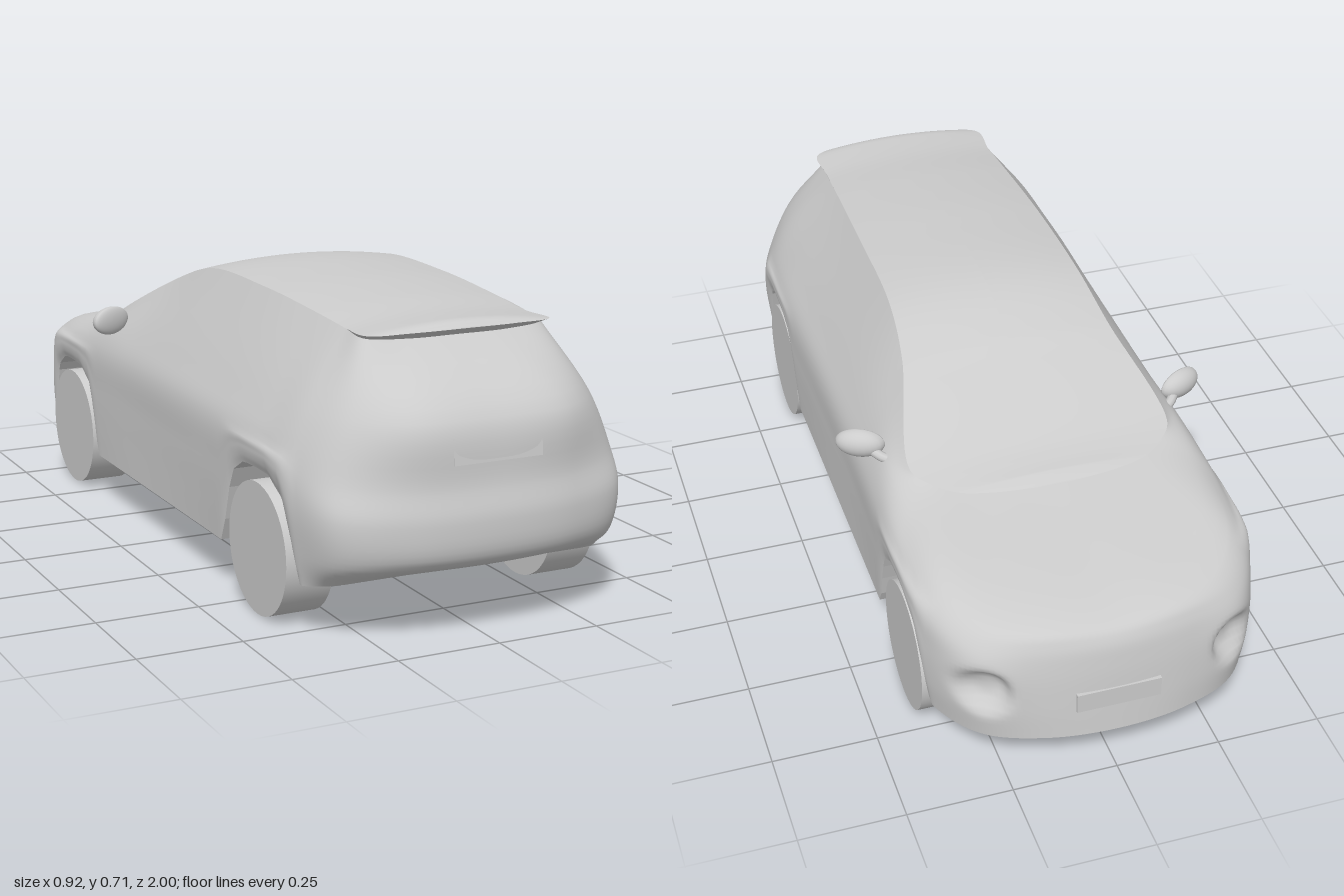
import * as THREE from 'three';

const SUB = 12; // samples between two outline points
const mat = new THREE.MeshStandardMaterial({ color: 0xcccccc, side: THREE.DoubleSide });

// Half outlines [x, y, z], from rear centre along the +x side to front centre
const bottom = [[0, .14, .88], [.2, .14, .87], [.335, .13, .84], [.385, .12, .77], [.4, .12, .6], [.4, .12, .3], [.4, .12, 0],
  [.4, .12, -.2], [.4, .12, -.4], [.4, .12, -.6], [.385, .12, -.79], [.305, .12, -.92], [.17, .12, -.98], [0, .12, -1]];
const lower = [[0, .19, .985], [.2, .19, .965], [.345, .19, .9], [.395, .2, .78], [.407, .2, .6], [.403, .2, .3], [.4, .2, 0],
  [.4, .2, -.2], [.403, .2, -.4], [.407, .2, -.6], [.395, .2, -.79], [.315, .2, -.925], [.18, .2, -.975], [0, .2, -.993]];
const middle = [[0, .28, 1], [.2, .28, .98], [.355, .29, .91], [.402, .3, .78], [.41, .3, .6], [.405, .3, .3], [.4, .3, 0],
  [.4, .3, -.2], [.405, .3, -.4], [.41, .3, -.6], [.398, .3, -.78], [.32, .3, -.92], [.18, .3, -.965], [0, .3, -.983]];
const shoulder = [[0, .36, .983], [.2, .36, .963], [.345, .37, .885], [.393, .38, .77], [.405, .4, .6], [.4, .41, .3], [.397, .41, 0],
  [.397, .41, -.2], [.402, .41, -.4], [.405, .4, -.6], [.387, .38, -.78], [.31, .36, -.9], [.18, .36, -.95], [0, .36, -.97]];
const belt = [[0, .5, .965], [.19, .5, .95], [.3, .5, .865], [.345, .5, .75], [.36, .49, .6], [.36, .49, .3], [.36, .49, 0],
  [.36, .49, -.2], [.365, .485, -.38], [.362, .455, -.55], [.345, .43, -.75], [.27, .405, -.87], [.15, .395, -.93], [0, .39, -.945]];
const roofEdge = [[0, .65, .8], [.13, .65, .795], [.222, .655, .775], [.23, .665, .7], [.234, .677, .55], [.24, .69, .3], [.245, .685, 0],
  [.262, .635, -.17], [.32, .51, -.43], [.285, .495, -.48], [.23, .488, -.52], [.16, .486, -.54], [.08, .485, -.55], [0, .485, -.555]];
const spoilerEdge = [[0, .67, .838], [.13, .669, .832], [.228, .666, .805], ...roofEdge.slice(3)];

// Mirror a half outline and smooth it into a closed ring
function ring(half) {
  const other = half.slice(1, -1).reverse().map(([x, y, z]) => [-x, y, z]);
  const pts = [...half, ...other].map((p) => new THREE.Vector3(...p));
  const curve = new THREE.CatmullRomCurve3(pts, true);
  const n = pts.length * SUB;
  return Array.from({ length: n }, (_, i) => curve.getPoint(i / n));
}

// Skin between closed rings, ordered from the bottom up
function loft(name, rings, flat = false) {
  const n = rings[0].length, pos = [], idx = [];
  rings.forEach((r) => r.forEach((p) => pos.push(p.x, p.y, p.z)));
  for (let j = 0; j < rings.length - 1; j++) {
    for (let i = 0; i < n; i++) {
      const a = j * n + i, b = j * n + (i + 1) % n;
      idx.push(a, b, a + n, b, b + n, a + n);
    }
  }
  let g = new THREE.BufferGeometry();
  g.setAttribute('position', new THREE.Float32BufferAttribute(pos, 3));
  g.setIndex(idx);
  if (flat) g = g.toNonIndexed();
  g.computeVertexNormals();
  return named(name, g);
}

function named(name, geometry) {
  const m = new THREE.Mesh(geometry, mat);
  m.name = name;
  return m;
}

// Height of the wheel arch opening at z
const archShape = [[0, .345], [.065, .343], [.13, .305], [.165, .2], [.185, .12]];
function archHeight(z) {
  const d = Math.min(Math.abs(z - .6), Math.abs(z + .61));
  for (let i = 1; i < archShape.length; i++) {
    const [d0, y0] = archShape[i - 1], [d1, y1] = archShape[i];
    if (d <= d1) return y0 + (y1 - y0) * (d - d0) / (d1 - d0);
  }
  return .12;
}

// Lift the lower flank over the wheels and press in the front corner intakes
function shape(p) {
  const q = p.clone();
  const f = THREE.MathUtils.clamp((.41 - q.y) / .29, 0, 1);
  q.y += f * (archHeight(q.z) - .12);
  if (p.z < -.84) {
    const dx = (Math.abs(p.x) - .3) / .05, dy = (p.y - .25) / .05;
    const dent = .035 * Math.exp(-((dx * dx + dy * dy) ** 2));
    q.z += dent;
    q.x -= Math.sign(q.x) * dent * .6;
  }
  return q;
}

export function createModel() {
  const car = new THREE.Group();
  car.name = 'car';

  // Body shell from sill to roof edge, including bonnet and tailgate
  const lines = [bottom, lower, middle, shoulder, belt, roofEdge].map(ring);
  const columns = lines[0].map((_, i) => new THREE.CatmullRomCurve3(lines.map((l) => l[i])));
  const rows = 30;
  const shell = Array.from({ length: rows + 1 }, (_, j) => columns.map((c) => shape(c.getPoint(j / rows))));
  car.add(loft('bodyShell', shell));

  // Roof and windscreen, with a slight crown
  const edge = ring(spoilerEdge);
  const roof = [1, .85, .7, .55, .4, .25, .12, 0].map((s) => edge.map((p) => {
    const crown = (p.z < -.2 ? .013 : .02) * Math.min(1, (p.x / .23) ** 2);
    return new THREE.Vector3(p.x * s, p.y + crown * (1 - s * s), p.z);
  }));
  car.add(loft('roofAndWindscreen', roof));
  car.add(loft('rearSpoiler', [lines[5], edge], true));

  // Floor and wheel wells
  const inset = (p, y) => new THREE.Vector3(THREE.MathUtils.clamp(p.x, -.27, .27), y, p.z);
  const sill = shell[0];
  const floor = sill.map((p, i) => inset(p, lines[0][i].y));
  const centre = floor.map((p) => new THREE.Vector3(0, p.y, p.z));
  car.add(loft('underbody', [centre, floor, sill.map((p) => inset(p, p.y)), sill], true));

  for (const side of [1, -1]) {
    const sideName = side > 0 ? 'left' : 'right';

    // Wheels
    for (const [z, end] of [[.6, 'Rear'], [-.625, 'Front']]) {
      const wheel = named(`${sideName}${end}Wheel`, new THREE.CylinderGeometry(.155, .155, .116, 48).rotateZ(Math.PI / 2));
      wheel.position.set(side * .34, .155, z);
      car.add(wheel);
    }

    // Door mirror: housing with a flatter glass side, on a short arm
    const mirror = new THREE.Group();
    mirror.name = `${sideName}Mirror`;
    const housing = named('mirrorHousing', new THREE.SphereGeometry(1, 24, 16));
    const p = housing.geometry.attributes.position;
    for (let i = 0; i < p.count; i++) {
      const z = p.getZ(i);
      p.setXYZ(i, p.getX(i) * .06, p.getY(i) * .036, z * (z < 0 ? .034 : .014));
    }
    housing.geometry.computeVertexNormals();
    housing.position.set(side * .403, .512, -.295);
    housing.rotation.y = -side * .45;
    const arm = new THREE.CatmullRomCurve3([[.33, .485, -.36], [.36, .492, -.345], [.385, .502, -.315]]
      .map(([x, y, z]) => new THREE.Vector3(side * x, y, z)));
    mirror.add(housing, named('mirrorArm', new THREE.TubeGeometry(arm, 8, .012, 10)));
    car.add(mirror);
  }

  // Blank number plates
  const rearPlate = named('rearPlate', new THREE.BoxGeometry(.22, .058, .02));
  rearPlate.position.set(0, .435, .968);
  rearPlate.rotation.x = -.1;
  const frontPlate = named('frontPlate', new THREE.BoxGeometry(.2, .05, .016));
  frontPlate.position.set(0, .215, -.986);
  car.add(rearPlate, frontPlate);
  return car;
}
